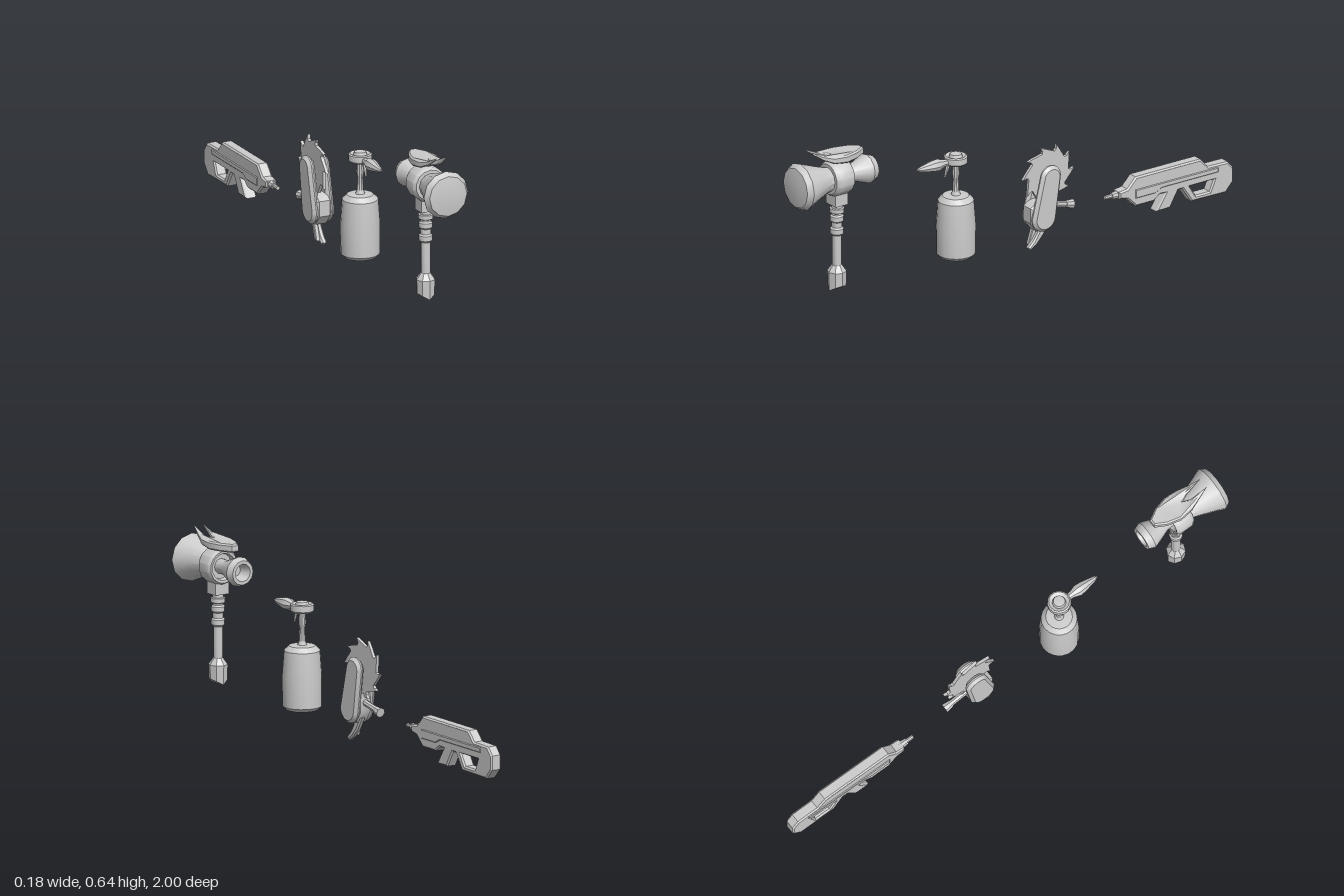
import * as THREE from 'three';
import { toCreasedNormals } from 'three/addons/utils/BufferGeometryUtils.js';

const material = new THREE.MeshStandardMaterial({ color: 0xcccccc, side: THREE.DoubleSide });

function add(group, name, geometry, crease = 0.6) {
  const flat = geometry.index ? geometry.toNonIndexed() : geometry;
  const mesh = new THREE.Mesh(toCreasedNormals(flat, crease), material);
  mesh.name = name;
  group.add(mesh);
  return mesh;
}

const points = (list) => list.map(([x, y]) => new THREE.Vector2(x, y));

// profile of [radius, height] pairs, turned about y
const turned = (profile, sides) => new THREE.LatheGeometry(points(profile), sides);

// Plate cut in the side plane: outline is [-z, y], thickness runs from x0 to x1
function sidePlate(outline, holes, x0, x1, bevel = 0.008) {
  const shape = Array.isArray(outline) ? new THREE.Shape(points(outline)) : outline;
  holes.forEach((h) => shape.holes.push(new THREE.Path(points(h))));
  const g = new THREE.ExtrudeGeometry(shape, {
    depth: x1 - x0 - 2 * bevel, bevelEnabled: bevel > 0, bevelThickness: bevel,
    bevelSize: bevel, bevelOffset: -bevel, bevelSegments: 1, curveSegments: 8,
  });
  return g.translate(0, 0, x0 + bevel).rotateY(Math.PI / 2);
}

// Straight round bar between two points
function bar(a, b, r0, r1, sides = 8) {
  const start = new THREE.Vector3(...a), end = new THREE.Vector3(...b);
  const dir = end.clone().sub(start);
  const g = new THREE.CylinderGeometry(r1, r0, dir.length(), sides);
  g.applyQuaternion(new THREE.Quaternion().setFromUnitVectors(new THREE.Vector3(0, 1, 0), dir.normalize()));
  return g.translate(...start.add(end).multiplyScalar(0.5).toArray());
}

function createHammer() {
  const g = new THREE.Group();
  g.name = 'hammer';
  // head parts turned along z
  const along = (profile, sides) => turned(profile, sides).rotateX(Math.PI / 2).translate(0, 0.508, 0);
  add(g, 'strikingBell', along([[0, 0.83], [0.045, 0.835], [0.05, 0.86], [0.068, 0.91],
    [0.092, 0.972], [0.078, 0.993], [0.045, 0.998], [0, 1.0]], 12), 0.5);
  add(g, 'drum', along([[0, 0.785], [0.048, 0.785], [0.052, 0.765], [0.062, 0.763], [0.069, 0.775],
    [0.069, 0.832], [0.06, 0.845], [0, 0.845]], 14));
  add(g, 'rearCup', along([[0, 0.69], [0.022, 0.69], [0.034, 0.642], [0.047, 0.642], [0.057, 0.668],
    [0.052, 0.684], [0.029, 0.745], [0.029, 0.79]], 12));

  // horned crest lying on the head
  const half = [[0.013, 0.862], [0.02, 0.932], [0.032, 0.888], [0.046, 0.845],
    [0.052, 0.79], [0.038, 0.735], [0.014, 0.692]];
  const outline = [[0, 0.835], ...half, ...half.slice().reverse().map(([x, z]) => [-x, z])];
  const crest = new THREE.ExtrudeGeometry(new THREE.Shape(points(outline)), {
    depth: 0.02, bevelThickness: 0.006, bevelSize: 0.006, bevelOffset: -0.006, bevelSegments: 1,
  }).rotateX(Math.PI / 2);
  const p = crest.attributes.position;
  for (let i = 0; i < p.count; i++) {
    const t = Math.max(0, p.getZ(i) - 0.82) / 0.11;
    p.setY(i, 0.602 + p.getY(i) * (1 - 0.8 * Math.min(t, 1)) + 0.038 * t * t);
  }
  add(g, 'hornedCrest', crest);

  // handle
  add(g, 'neckBlock', new THREE.BoxGeometry(0.062, 0.05, 0.056).translate(0, 0.425, 0.803));
  add(g, 'handle', turned([[0.018, 0.15], [0.018, 0.275], [0.026, 0.283], [0.026, 0.302], [0.02, 0.308],
    [0.02, 0.328], [0.026, 0.334], [0.026, 0.352], [0.02, 0.358], [0.02, 0.364], [0.028, 0.368],
    [0.028, 0.384], [0.021, 0.386], [0.021, 0.405]], 12).translate(0, 0, 0.803));
  // pommel with its underside cut to a wedge
  const pommel = turned([[0, 0.056], [0.035, 0.056], [0.037, 0.13], [0.018, 0.156]], 8);
  const q = pommel.attributes.position;
  for (let i = 0; i < q.count; i++) if (q.getY(i) < 0.06) q.setY(i, 0.056 + 0.6 * Math.abs(q.getX(i)));
  add(g, 'pommel', pommel.translate(0, 0, 0.803));
  return g;
}

function createBottle() {
  const g = new THREE.Group();
  g.name = 'sprayBottle';
  add(g, 'tank', turned([[0, 0.055], [0.045, 0.055], [0.062, 0.06], [0.074, 0.073], [0.075, 0.19],
    [0.068, 0.285], [0.05, 0.303], [0.015, 0.306]], 18));
  add(g, 'stem', turned([[0.019, 0.303], [0.013, 0.32], [0.011, 0.37], [0.015, 0.39], [0.012, 0.43]], 10));
  add(g, 'pumpHead', turned([[0, 0.43], [0.038, 0.43], [0.045, 0.437], [0.045, 0.46], [0.039, 0.464],
    [0.026, 0.458], [0.022, 0.47], [0, 0.473]], 14));
  add(g, 'nozzle', turned([[0.012, 0.03], [0.015, 0.06], [0.024, 0.085], [0.022, 0.11],
    [0.01, 0.165], [0, 0.182]], 8).rotateX(Math.PI / 2).translate(0, 0.444, 0));
  add(g, 'trigger', bar([0, 0.435, 0.035], [0, 0.385, 0.05], 0.009, 0.004, 6));
  g.position.z = 0.258;
  return g;
}

function createSaw() {
  const g = new THREE.Group();
  g.name = 'circularSaw';
  // hooked blade
  const rim = [], teeth = 10;
  for (let i = 0; i < teeth; i++) {
    for (const [f, r] of [[0, 0.09], [0.3, 0.093], [0.65, 0.102], [1.0, 0.117], [0.93, 0.1]]) {
      const a = ((i + f) / teeth) * Math.PI * 2;
      rim.push([0.155 + r * Math.cos(a), 0.293 + r * Math.sin(a)]);
    }
  }
  add(g, 'blade', sidePlate(rim, [], 0.006, 0.018, 0));

  // rounded guard arms on both sides of the blade
  const arm = (grow) => {
    const s = new THREE.Shape();
    s.absarc(0.145, 0.292, 0.046 + grow, -0.15, Math.PI - 0.1, false);
    s.absarc(0.115, 0.135, 0.054 + grow, Math.PI - 0.1, Math.PI * 2 - 0.15, false);
    return s;
  };
  add(g, 'rightGuard', sidePlate(arm(0), [], -0.034, -0.004, 0.012));
  add(g, 'leftGuard', sidePlate(arm(0), [], 0.028, 0.058, 0.012));
  add(g, 'motorHousing', sidePlate([[0.06, 0.12], [0.09, 0.082], [0.14, 0.085], [0.17, 0.13],
    [0.17, 0.2], [0.09, 0.2], [0.06, 0.18]], [], -0.02, 0.044, 0.01));

  // curved rear grip and side knob
  add(g, 'grip', sidePlate([[0.06, 0.016], [0.072, 0.004], [0.1, 0.022], [0.13, 0.055], [0.158, 0.105],
    [0.11, 0.11], [0.105, 0.07], [0.085, 0.04]], [], 0.0, 0.024, 0.006));
  add(g, 'gripTrigger', sidePlate([[0.075, 0.022], [0.095, 0.025], [0.12, 0.1], [0.1, 0.1]], [], -0.016, 0.002, 0.003));
  add(g, 'sideHandle', bar([0.012, 0.168, -0.15], [0.012, 0.148, -0.25], 0.012, 0.012));
  add(g, 'sideKnob', bar([0.012, 0.15, -0.236], [0.012, 0.144, -0.268], 0.014, 0.019));
  return g;
}

function createRifle() {
  const g = new THREE.Group();
  g.name = 'rifle';
  const body = [[0.478, 0.112], [0.515, 0.105], [0.553, 0.067], [0.635, 0.067], [0.665, 0.088],
    [0.69, 0.088], [0.647, 0.022], [0.711, 0.022], [0.748, 0.085], [0.768, 0.085], [0.808, 0.024],
    [0.966, 0.022], [1.0, 0.06], [1.0, 0.115], [0.975, 0.145], [0.885, 0.147], [0.85, 0.185],
    [0.553, 0.185], [0.515, 0.145], [0.478, 0.14]];
  const sightSlot = [[0.675, 0.15], [0.682, 0.174], [0.838, 0.174], [0.858, 0.15]];
  const gripHole = [[0.8, 0.088], [0.828, 0.044], [0.892, 0.044], [0.912, 0.088]];
  add(g, 'body', sidePlate(body, [sightSlot, gripHole], -0.023, 0.023, 0.006), 0.4);
  add(g, 'barrel', bar([0, 0.125, -0.425], [0, 0.125, -0.5], 0.008, 0.01));
  add(g, 'barrelSleeve', bar([0, 0.125, -0.455], [0, 0.125, -0.5], 0.013, 0.018));
  // raised strip along both flanks
  add(g, 'flankPanel', sidePlate([[0.55, 0.1], [0.64, 0.1], [0.67, 0.115], [0.93, 0.115],
    [0.93, 0.135], [0.55, 0.135]], [], -0.026, 0.026, 0.003));
  return g;
}

export function createModel() {
  const model = new THREE.Group();
  model.name = 'toolSet';
  model.add(createHammer(), createBottle(), createSaw(), createRifle());
  return model;
}
